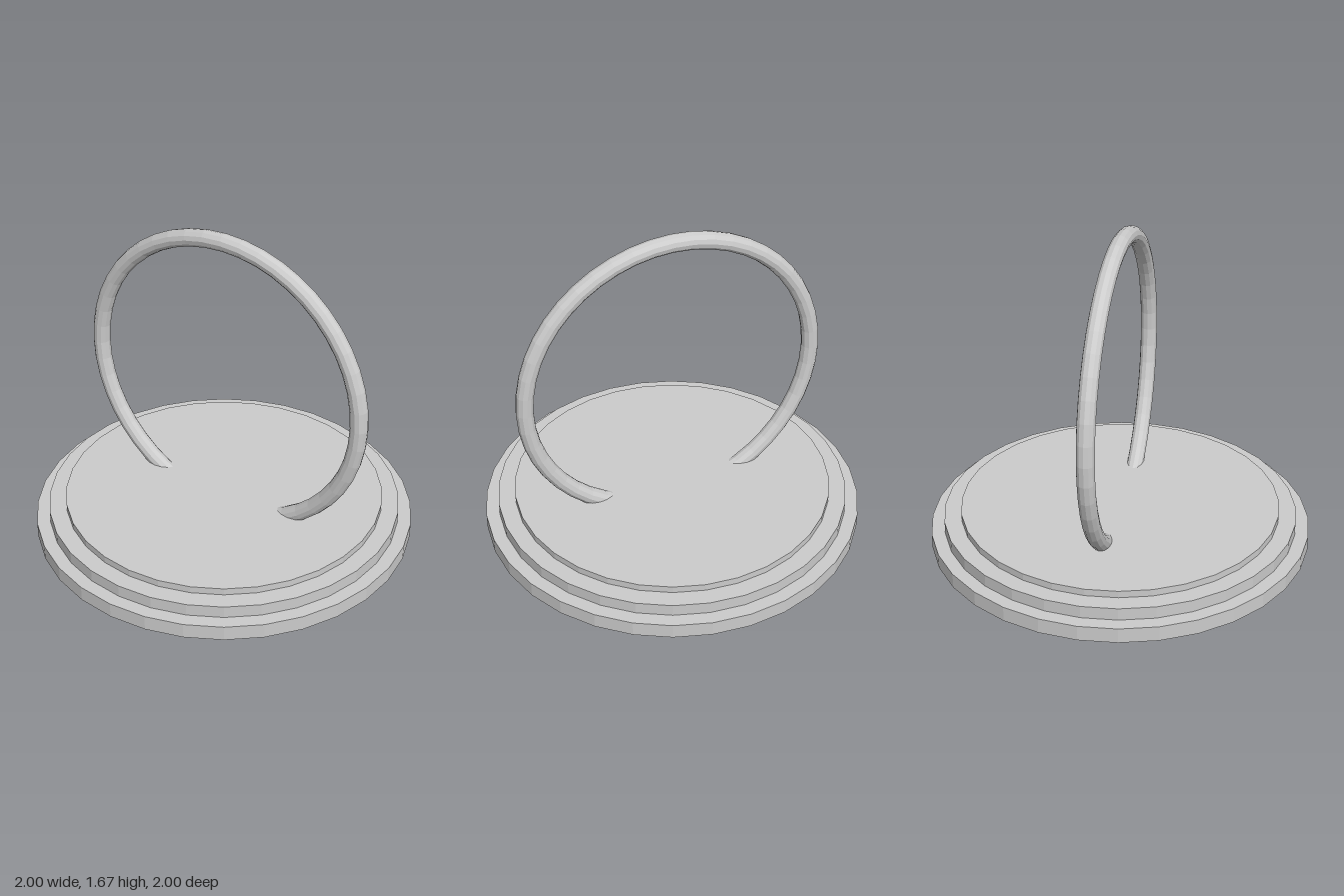
import * as THREE from 'three';

export function createModel() {
  const model = new THREE.Group();
  const material = new THREE.MeshStandardMaterial({ color: 0xcccccc, flatShading: true });

  const addPart = (name, geometry, y) => {
    const mesh = new THREE.Mesh(geometry, material);
    mesh.name = name;
    mesh.position.y = y;
    model.add(mesh);
  };

  // Stepped round base: name, radius, bottom, top
  const steps = [
    ['baseLowerStep', 1, 0, 0.08],
    ['baseMiddleStep', 0.93, 0.08, 0.145],
    ['baseUpperStep', 0.84, 0.145, 0.182],
  ];
  for (const [name, radius, bottom, top] of steps) {
    addPart(name, new THREE.CylinderGeometry(radius, radius, top - bottom, 32), (bottom + top) / 2);
  }

  // Upright ring, its lowest arc sunk into the base
  addPart('ring', new THREE.TorusGeometry(0.785, 0.045, 12, 48), 0.84);

  return model;
}
